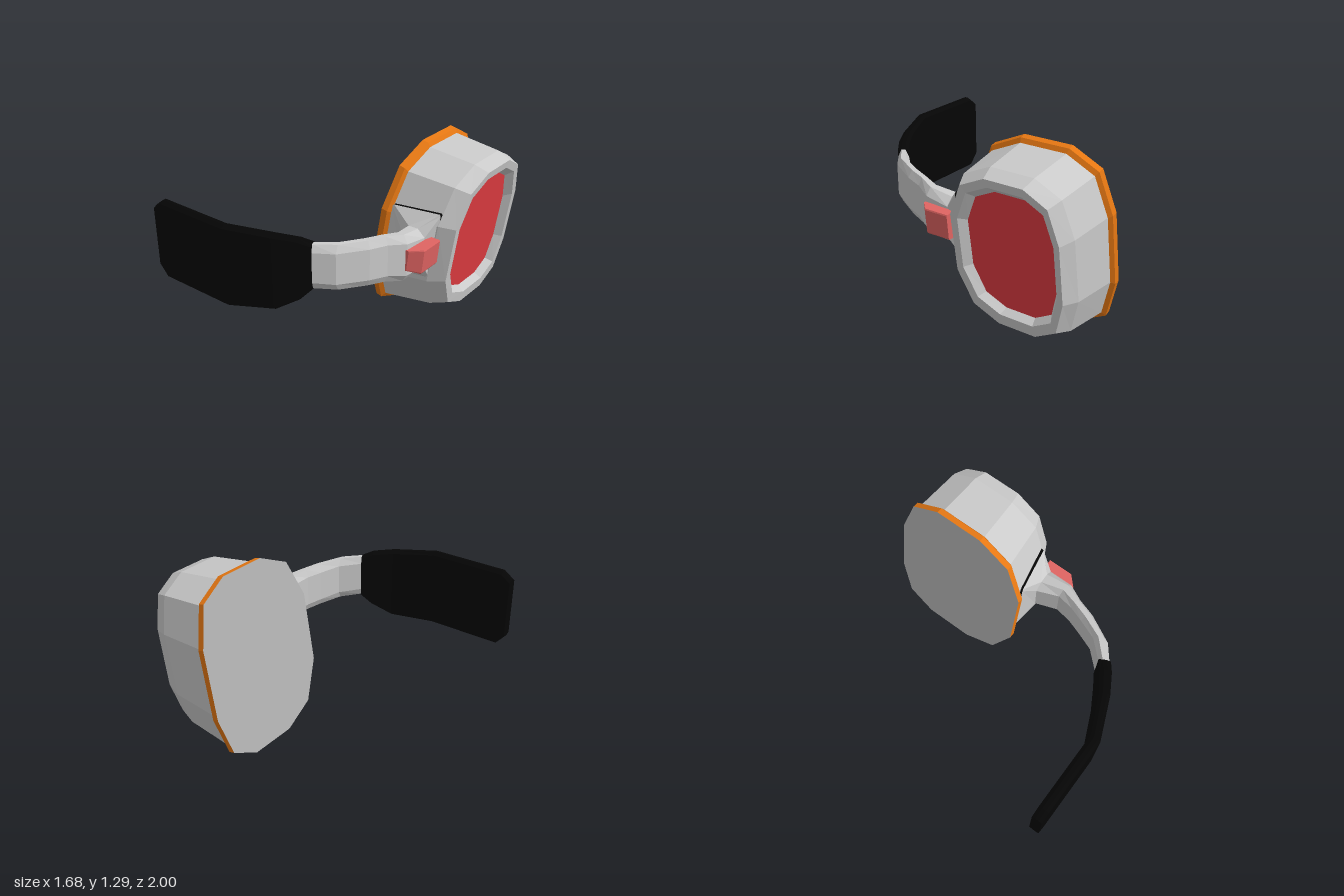
import * as THREE from 'three';

const paint = (name, color) => Object.assign(new THREE.MeshStandardMaterial({ color }), { name });

// Flat-faced skin over a list of rings; caps close the start and end.
function loft(rings, capStart = false, capEnd = false) {
  const pos = [];
  const tri = (...pts) => pts.forEach((p) => pos.push(p.x, p.y, p.z));
  const n = rings[0].length;
  for (let r = 0; r + 1 < rings.length; r++) {
    const a = rings[r], b = rings[r + 1];
    for (let i = 0; i < n; i++) {
      const j = (i + 1) % n;
      tri(a[i], a[j], b[j]);
      tri(a[i], b[j], b[i]);
    }
  }
  const first = rings[0], last = rings[rings.length - 1];
  for (let i = 1; i + 1 < n; i++) {
    if (capStart) tri(first[0], first[i + 1], first[i]);
    if (capEnd) tri(last[0], last[i], last[i + 1]);
  }
  const geo = new THREE.BufferGeometry();
  geo.setAttribute('position', new THREE.Float32BufferAttribute(pos, 3));
  geo.computeVertexNormals();
  return geo;
}

// Twelve-sided housing outline: [z fraction, height fraction]
const OUTLINE = [
  [0, 0.305], [0, 0.695], [0.08, 0.914], [0.28, 1], [0.63, 1], [0.87, 0.914],
  [1, 0.695], [1, 0.305], [0.87, 0.086], [0.63, 0], [0.28, 0], [0.08, 0.086],
];

// Tilted housing ring from its bottom point, top point and z range
const podRing = ([xb, yb, xt, yt, z0, z1]) => OUTLINE.map(([f, v]) => new THREE.Vector3(
  THREE.MathUtils.lerp(xb, xt, v), THREE.MathUtils.lerp(yb, yt, v), THREE.MathUtils.lerp(z0, z1, f)));

// Chamfered arm section from inner edge, outer edge and height range
function armRing([xi, zi, xo, zo, y0, y1, shear = 0], ky, kw) {
  const corners = [[1, -kw], [1, kw], [ky, 1], [-ky, 1], [-1, kw], [-1, -kw], [-ky, -1], [ky, -1]];
  const mid = (y0 + y1) / 2, half = (y1 - y0) / 2;
  return corners.map(([a, b]) => {
    const t = (b + 1) / 2;
    return new THREE.Vector3(
      xi + (xo - xi) * t + shear * a * half, mid + a * half, zi + (zo - zi) * t);
  });
}

export function createModel() {
  const model = new THREE.Group();
  model.name = 'eyepieceHeadset';

  const grey = paint('lightGrey', 0xcacaca);
  const plateGrey = paint('plateGrey', 0xb4b4b4);
  const orange = paint('orange', 0xee7c14);
  const red = paint('red', 0xe23c42);
  const buttonRed = paint('buttonRed', 0xe06462);
  const black = paint('black', 0x050505);

  const add = (name, geo, mat) => {
    const mesh = new THREE.Mesh(geo, mat);
    mesh.name = name;
    model.add(mesh);
  };
  const arm = (sections, ky, kw) => loft(sections.map((s) => armRing(s, ky, kw)), true, true);

  // Ear housing: back plate, flange, shell with recessed face
  const back = podRing([0.14, 0.012, 0.345, 1.29, -1, 0]);
  const edge = podRing([0.183, 0.0, 0.388, 1.28, -1, 0]);
  const lip = podRing([0.207, 0.035, 0.403, 1.25, -0.975, -0.025]);
  const recess = podRing([0.65, 0.228, 0.77, 1.068, -0.843, -0.216]);
  add('backPlate', loft([back], true), plateGrey);
  add('flange', loft([back, edge, lip]), orange);
  add('shell', loft([
    lip,
    podRing([0.565, 0.08, 0.74, 1.205, -0.955, -0.07]),
    podRing([0.69, 0.12, 0.838, 1.165, -0.915, -0.125]),
    podRing([0.7, 0.195, 0.827, 1.11, -0.875, -0.175]),
    recess,
  ]), grey);
  add('facePanel', loft([recess], false, true), red);

  // Eye visor, swept from its free tip to the arm
  add('visor', arm([
    [-0.84, 0.925, -0.84, 1.0, 0.51, 0.96],
    [-0.77, 0.925, -0.77, 1.0, 0.43, 1.015],
    [-0.21, 0.925, -0.21, 1.0, 0.43, 1.015],
    [0.07, 0.8, 0.09, 0.875, 0.455, 0.995],
    [0.2, 0.72, 0.23, 0.795, 0.54, 0.975],
    [0.265, 0.67, 0.3, 0.745, 0.62, 0.94],
  ], 0.93, 0.35), black);

  // Curved arm
  const armEnd = [0.465, 0.025, 0.645, 0.02, 0.535, 0.855];
  add('arm', arm([
    [0.265, 0.675, 0.298, 0.742, 0.625, 0.938],
    [0.385, 0.55, 0.415, 0.65, 0.61, 0.93],
    [0.445, 0.41, 0.525, 0.45, 0.59, 0.915],
    [0.487, 0.3, 0.57, 0.32, 0.575, 0.905],
    [0.515, 0.18, 0.635, 0.2, 0.545, 0.885],
    armEnd,
  ], 0.68, 0.4), grey);

  // Flared bracket joining the arm to the housing, with a dark seam
  const base = [0.32, -0.022, 0.658, -0.085, 0.445, 0.945, 0.15];
  const seam = [0.32, -0.037, 0.66, -0.105, 0.443, 0.947, 0.15];
  add('bracket', loft([armRing(armEnd, 0.68, 0.4), armRing(base, 0.95, 0.95)], true, true), grey);
  add('bracketSeam', arm([base, seam], 0.95, 0.95), black);

  // Side button
  add('sideButton', arm([
    [0.6, 0.21, 0.645, 0.21, 0.64, 0.79, 0.1],
    [0.6, 0.14, 0.718, 0.14, 0.61, 0.79, 0.1],
    [0.6, -0.04, 0.718, -0.04, 0.61, 0.79, 0.1],
  ], 0.9, 0.92), buttonRed);

  return model;
}
